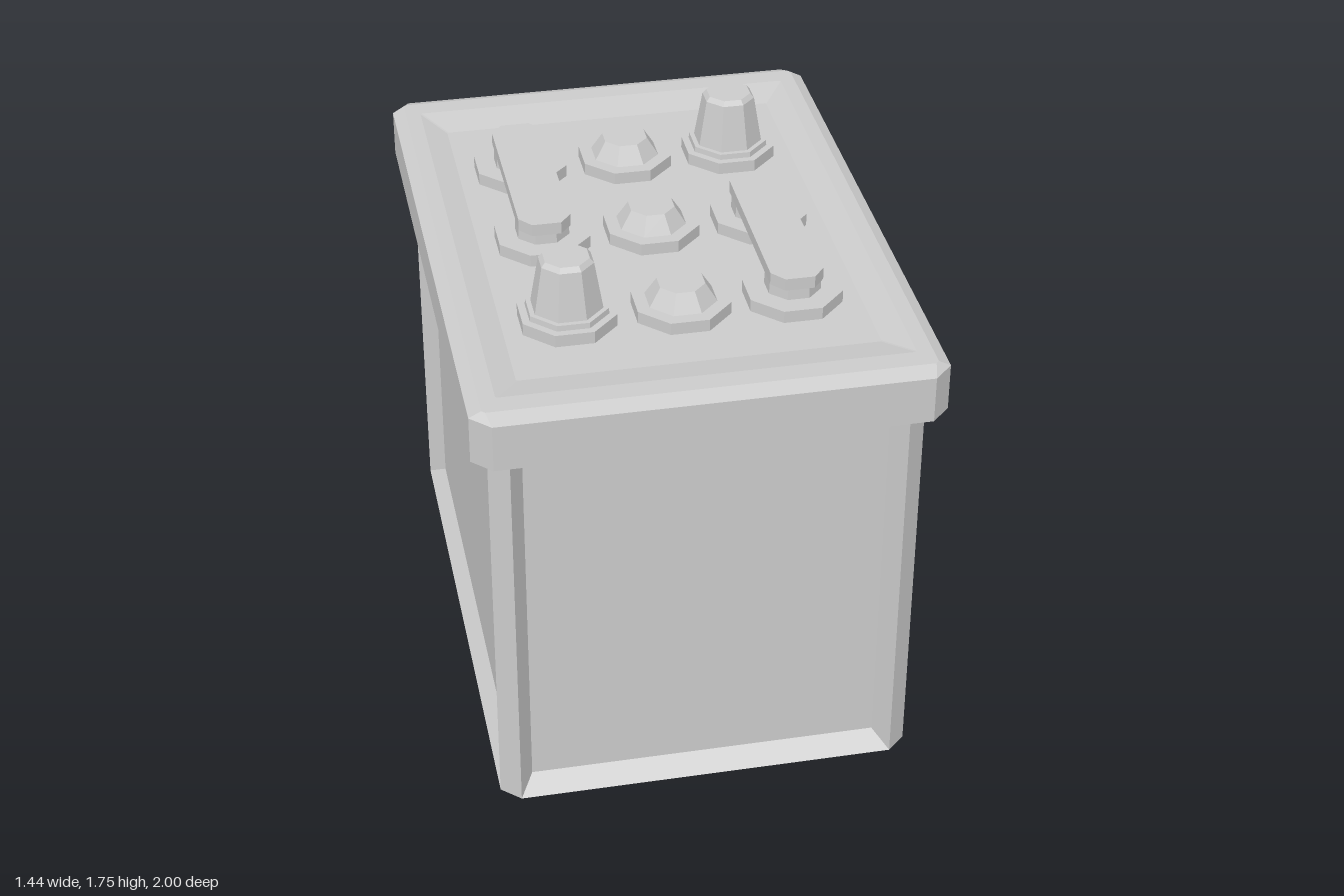
import * as THREE from 'three';

const material = new THREE.MeshStandardMaterial({ color: 0xcccccc, flatShading: true });

// Rectangle with chamfered corners at height y; even sides are the long flat ones
function ring(hx, hz, cx, cz, y) {
  return [
    [-hx + cx, hz], [hx - cx, hz], [hx, hz - cz], [hx, -hz + cz],
    [hx - cx, -hz], [-hx + cx, -hz], [-hx, -hz + cz], [-hx, hz - cz],
  ].map(([x, z]) => new THREE.Vector3(x, y, z));
}

// Four sloped walls around a sunken panel, for the upright quad a b c d
function sunkenPanel(add, a, b, c, d, margin, depth) {
  const u = b.clone().sub(a).normalize();
  const v = new THREE.Vector3(0, 1, 0);
  const n = u.clone().cross(v);
  const shift = (p, su, sv) => p.clone()
    .addScaledVector(u, su * margin).addScaledVector(v, sv * 0.047).addScaledVector(n, -depth);
  const outer = [a, b, c, d];
  const inner = [shift(a, 1, 1), shift(b, -1, 1), shift(c, -1, -1), shift(d, 1, -1)];
  for (let i = 0; i < 4; i++) {
    const j = (i + 1) % 4;
    add(outer[i], outer[j], inner[j], inner[i]);
  }
  add(...inner);
}

// Skin a stack of rings from bottom to top and close both ends
function loft(name, rings, panelBand = -1) {
  const pos = [];
  const tri = (...pts) => pts.forEach((p) => pos.push(p.x, p.y, p.z));
  const quad = (a, b, c, d) => { tri(a, b, c); tri(a, c, d); };
  for (let k = 0; k < rings.length - 1; k++) {
    const lo = rings[k], hi = rings[k + 1];
    for (let i = 0; i < 8; i++) {
      const j = (i + 1) % 8;
      if (k === panelBand && i % 2 === 0) {
        const frontOrBack = i % 4 === 0;
        sunkenPanel(quad, lo[i], lo[j], hi[j], hi[i], frontOrBack ? 0.045 : 0.065, frontOrBack ? 0.065 : 0.05);
      } else quad(lo[i], lo[j], hi[j], hi[i]);
    }
  }
  const first = rings[0], last = rings[rings.length - 1];
  for (let i = 1; i < 7; i++) {
    tri(first[0], first[i + 1], first[i]);
    tri(last[0], last[i], last[i + 1]);
  }
  const geo = new THREE.BufferGeometry();
  geo.setAttribute('position', new THREE.Float32BufferAttribute(pos, 3));
  geo.computeVertexNormals();
  const mesh = new THREE.Mesh(geo, material);
  mesh.name = name;
  return mesh;
}

// Stack of eight-sided frustums; each tier is [bottom half-width, top half-width, y0, y1]
function octagonStack(name, x, z, tiers) {
  const group = new THREE.Group();
  group.name = name;
  const k = 1 / Math.cos(Math.PI / 8);
  for (const [r0, r1, y0, y1] of tiers) {
    const geo = new THREE.CylinderGeometry(r1 * k, r0 * k, y1 - y0, 8, 1, false, Math.PI / 8);
    const mesh = new THREE.Mesh(geo, material);
    mesh.name = name + 'Tier';
    mesh.position.y = (y0 + y1) / 2;
    group.add(mesh);
  }
  group.position.set(x, 0, z);
  return group;
}

// Flat connecting strap with clipped corners
function strap(x, z0, z1) {
  const half = (z1 - z0) / 2;
  const mesh = loft('connectorBar', [1.605, 1.645].map((y) => ring(0.083, half, 0.037, 0.045, y)));
  mesh.position.set(x, 0, (z0 + z1) / 2);
  return mesh;
}

export function createModel() {
  const model = new THREE.Group();
  model.name = 'battery';

  // Case with sunken side panels and a shallow recess underneath
  model.add(loft('case', [
    ring(0.5, 0.74, 0.01, 0.01, 0.02),
    ring(0.565, 0.83, 0.01, 0.01, 0),
    ring(0.61, 0.87, 0.02, 0.02, 0),
    ring(0.665, 0.945, 0.06, 0.055, 0.04),
    ring(0.665, 0.945, 0.06, 0.055, 1.375),
  ], 3));

  // Overhanging lid with a bevelled rim and a dished top
  model.add(loft('lid', [
    ring(0.72, 1, 0.06, 0.06, 1.372),
    ring(0.72, 1, 0.06, 0.06, 1.525),
    ring(0.682, 0.95, 0.01, 0.01, 1.545),
    ring(0.632, 0.88, 0.005, 0.005, 1.545),
    ring(0.555, 0.77, 0.005, 0.005, 1.522),
  ]));

  const rows = [-0.46, 0, 0.47];
  const base = [0.145, 0.145, 1.515, 1.562];

  // Filler caps along the middle
  for (const z of rows) {
    model.add(octagonStack('fillerCap', 0, z, [base, [0.105, 0.07, 1.562, 1.62]]));
  }

  // Two terminal posts at opposite corners
  for (const [x, z] of [[-0.352, 0.47], [0.35, -0.46]]) {
    model.add(octagonStack('terminalPost', x, z, [
      base,
      [0.122, 0.12, 1.562, 1.58],
      [0.105, 0.08, 1.58, 1.735],
      [0.08, 0.068, 1.735, 1.75],
    ]));
  }

  // Bars joining neighbouring cells, each on two footed necks
  for (const [x, zs, z0, z1] of [[-0.352, [-0.46, 0], -0.56, 0.1], [0.35, [0, 0.47], -0.1, 0.565]]) {
    for (const z of zs) {
      model.add(octagonStack('connectorFoot', x, z, [base, [0.082, 0.08, 1.562, 1.606]]));
    }
    model.add(strap(x, z0, z1));
  }

  return model;
}
